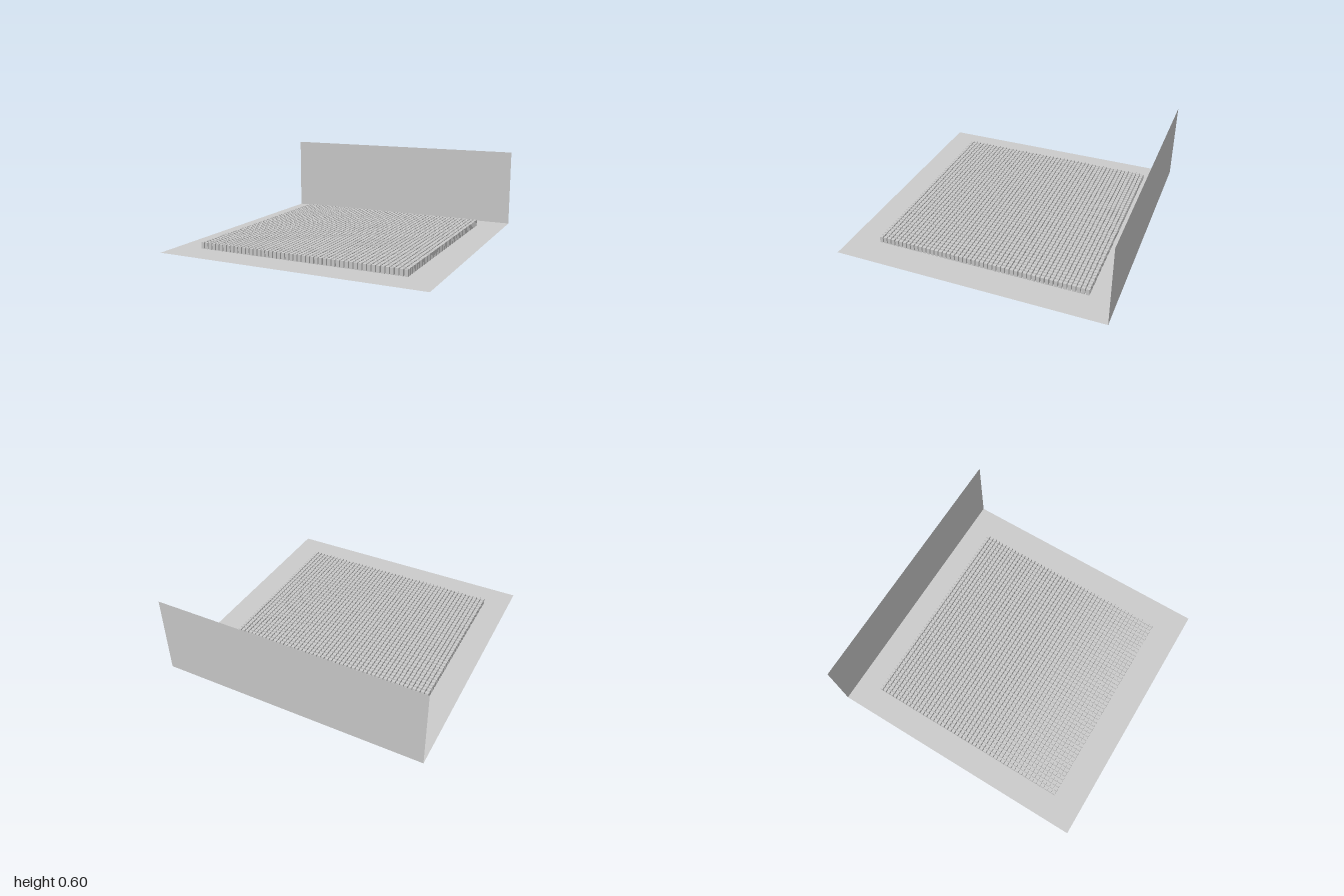
import * as THREE from 'three';
import { mergeGeometries } from 'three/addons/utils/BufferGeometryUtils.js';

export function createModel() {
  const model = new THREE.Group();
  const solid = new THREE.MeshStandardMaterial({ color: 0xcccccc });
  const sheet = new THREE.MeshStandardMaterial({ color: 0xcccccc, side: THREE.DoubleSide });

  const add = (name, geometry, material) => {
    const mesh = new THREE.Mesh(geometry, material);
    mesh.name = name;
    model.add(mesh);
  };

  // Thin floor and upright back wall
  add('floor', new THREE.PlaneGeometry(2, 2).rotateX(-Math.PI / 2), sheet);
  add('backWall', new THREE.PlaneGeometry(2, 0.6).translate(0, 0.3, -1), sheet);

  // Square field of small upright blocks, starting from the back left corner
  const count = 50, pitch = 0.032, width = 0.024, height = 0.048, start = -0.8;
  const block = new THREE.BoxGeometry(width, height, width);
  const blocks = [];
  for (let i = 0; i < count; i++) {
    for (let j = 0; j < count; j++) {
      blocks.push(block.clone().translate(start + i * pitch, height / 2, start + j * pitch));
    }
  }
  add('blockField', mergeGeometries(blocks), solid);

  return model;
}
